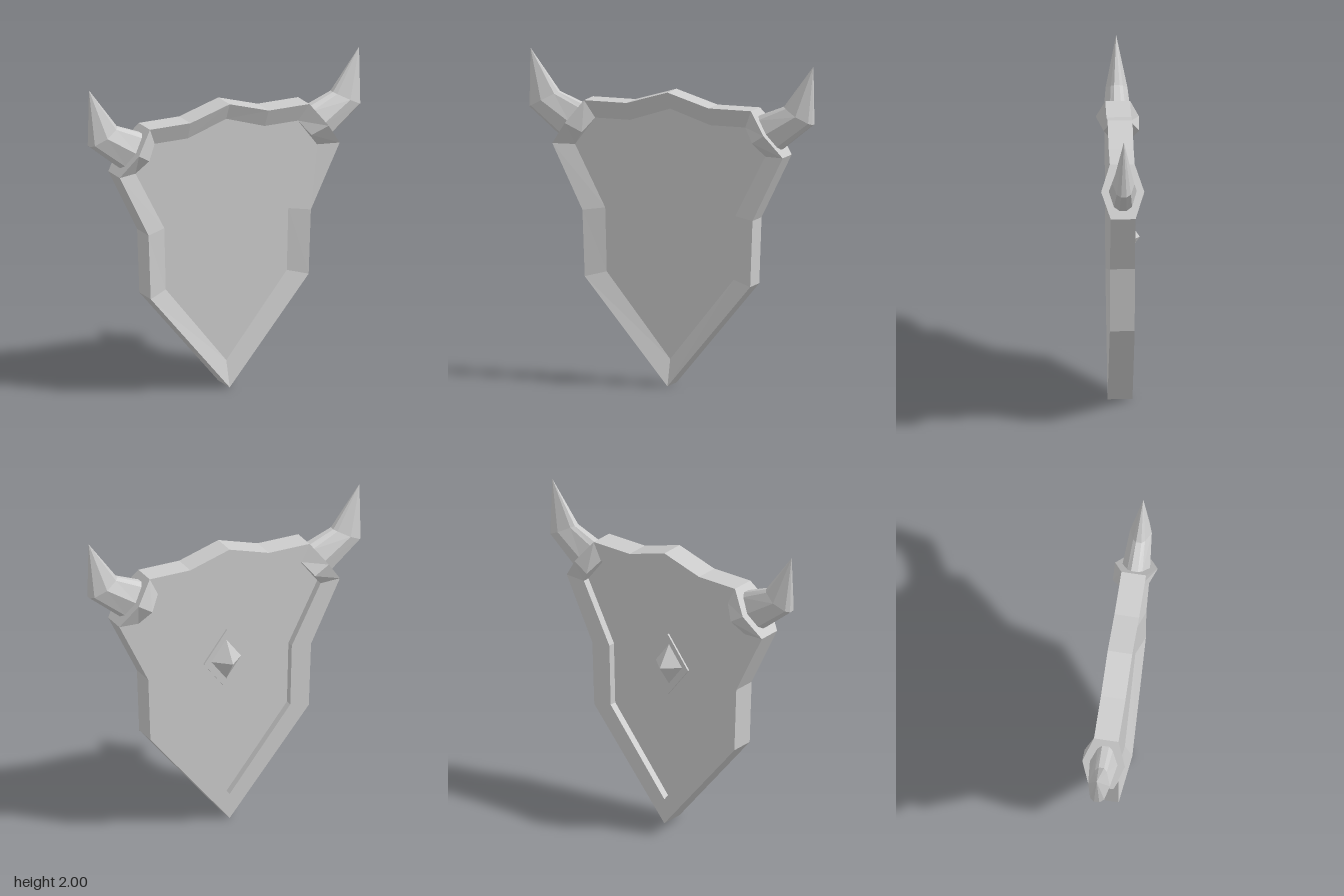
import * as THREE from 'three';

const material = new THREE.MeshStandardMaterial({ color: 0xcccccc, flatShading: true });

// Joins successive loops of points with faces, skipping empty triangles
function loft(loops) {
  const out = [];
  const tri = (a, b, c) => {
    if (new THREE.Triangle(a, b, c).getArea() < 1e-6) return;
    for (const p of [a, b, c]) out.push(p.x, p.y, p.z);
  };
  for (let k = 0; k + 1 < loops.length; k++) {
    const a = loops[k], b = loops[k + 1], n = a.length;
    for (let i = 0; i < n; i++) {
      const j = (i + 1) % n;
      tri(a[i], a[j], b[j]);
      tri(a[i], b[j], b[i]);
    }
  }
  const g = new THREE.BufferGeometry();
  g.setAttribute('position', new THREE.Float32BufferAttribute(out, 3));
  g.computeVertexNormals();
  return g;
}

function add(parent, name, geometry) {
  const mesh = new THREE.Mesh(geometry, material);
  mesh.name = name;
  parent.add(mesh);
  return mesh;
}

// Half outlines from top to bottom; index 3 is the middle of the horn corner
const OUTER = [[0, 1.795], [0.265, 1.715], [0.54, 1.715], [0.6425, 1.5775], [0.745, 1.44], [0.55, 1.045], [0.535, 0.64], [0, 0]];
const INNER = [[0, 1.69], [0.26, 1.605], [0.485, 1.605], [0.55, 1.52], [0.615, 1.435], [0.42, 1.06], [0.41, 0.67], [0, 0.16]];
const CORNER = 3;

// Full closed loop at depth z, with the horn corners at their own depth
function outline(half, z, cornerZ = z) {
  const right = half.map(([x, y], i) => new THREE.Vector3(x, y, i === CORNER ? cornerZ : z));
  const left = right.slice(1, -1).reverse().map(p => new THREE.Vector3(-p.x, p.y, p.z));
  return [...right, ...left];
}

function diamond(w, h) {
  return [[0, h], [w, 0], [0, -h], [-w, 0]].map(([x, y]) => new THREE.Vector2(x, y));
}

// Ten-sided horn section: centre, half-height vector and half-width
const SECTION = [[1, -0.25], [1, 0.25], [0.8, 0.55], [0, 1], [-0.8, 0.65], [-1, 0.25], [-1, -0.25], [-0.8, -0.65], [0, -1], [0.8, -0.55]];
function hornRing(cx, cy, ux, uy, w) {
  return SECTION.map(([u, z]) => new THREE.Vector3(cx + ux * u, cy + uy * u, z * w));
}

export function createModel() {
  const model = new THREE.Group();
  model.name = 'hornedShield';

  // Rim: sloped front, straight edge, flat back with a step, raised corners
  add(model, 'rim', loft([
    outline(INNER, 0.03),
    outline(INNER, 0.03, 0.085),
    outline(OUTER, 0.075, 0.13),
    outline(OUTER, -0.075, -0.13),
    outline(INNER, -0.075, -0.13),
    outline(INNER, -0.03),
  ]));

  // Recessed panels on both sides
  const panel = new THREE.ShapeGeometry(new THREE.Shape(outline(INNER, 0).map(p => new THREE.Vector2(p.x, p.y))));
  add(model, 'frontPanel', panel).position.z = 0.03;
  const back = add(model, 'backPanel', panel);
  back.position.z = -0.03;
  back.rotation.y = Math.PI;

  // Back boss: thin diamond frame around a pointed stud
  const boss = new THREE.Group();
  boss.name = 'backBoss';
  boss.position.set(0, 1.045, -0.03);
  boss.rotation.y = Math.PI;
  const frame = new THREE.Shape(diamond(0.155, 0.2));
  frame.holes.push(new THREE.Path(diamond(0.12, 0.155)));
  add(boss, 'diamondFrame', new THREE.ExtrudeGeometry(frame, { depth: 0.012, bevelEnabled: false }));
  const stud = new THREE.ConeGeometry(1, 0.09, 4);
  stud.rotateX(Math.PI / 2).scale(0.1, 0.13, 1).translate(0, 0, 0.045);
  add(boss, 'stud', stud);
  model.add(boss);

  // Horns: thick root, bent knee and sharp tip
  const horn = loft([
    hornRing(0.63, 1.575, -0.075, 0.1, 0.085),
    hornRing(0.8225, 1.695, -0.0925, 0.05, 0.066),
    hornRing(0.915, 2, 0, 0, 0),
  ]);
  add(model, 'leftHorn', horn);
  add(model, 'rightHorn', horn).rotation.y = Math.PI;

  return model;
}
